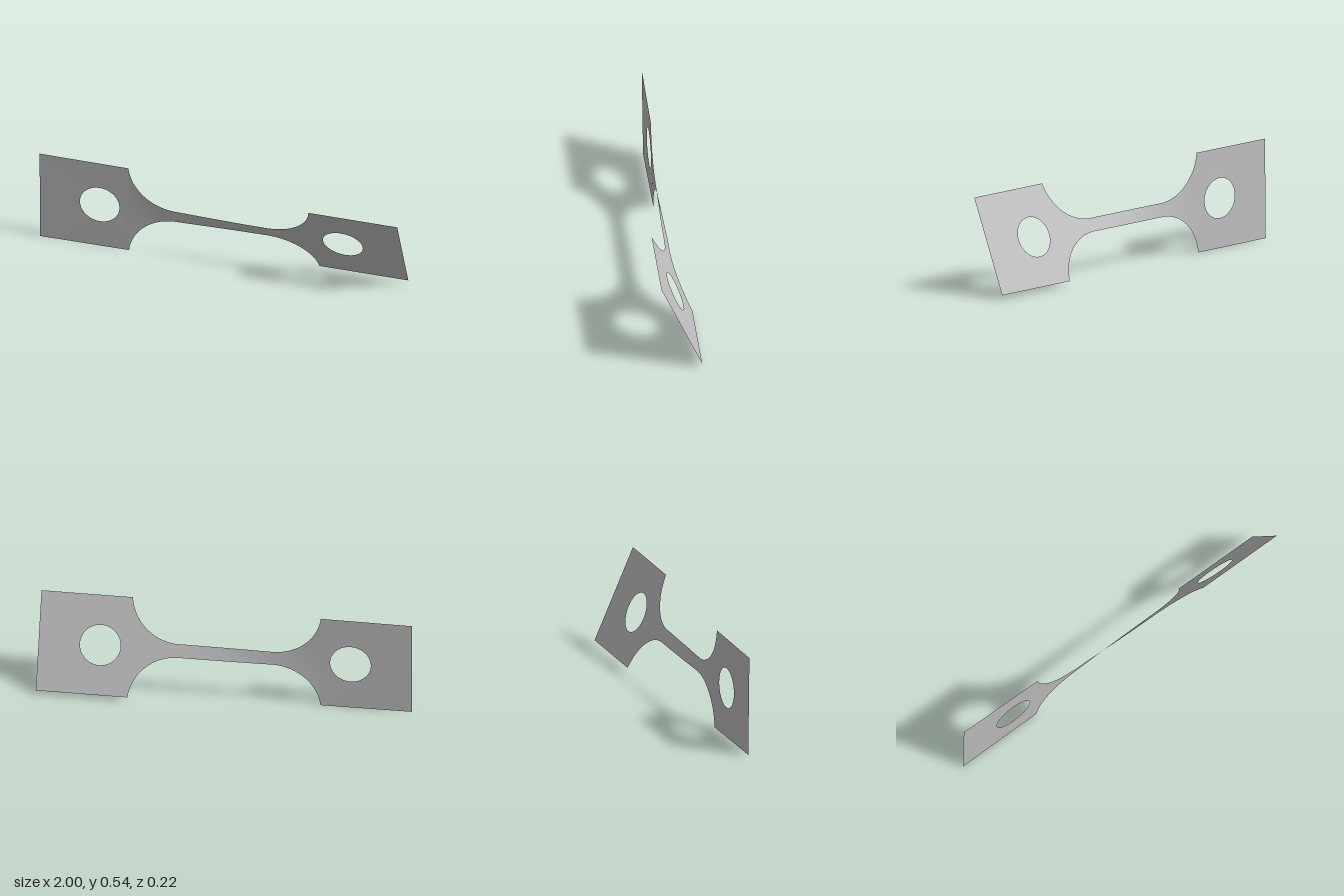
import * as THREE from 'three';

const CENTRE_Y = 0.271, HALF = 0.2705; // strip axis height, half width of the grips
const GRIP_X = 0.51, NECK_X = 0.25;    // fillets run between these distances
const NECK_HALF = 0.037, FILLET = 0.2615;

// twist about the long axis: nearly upright at -x, leaning forward at +x
function twistAngle(x) {
  return THREE.MathUtils.lerp(0.012, 0.415, THREE.MathUtils.smoothstep(x, -0.6, 0.25));
}

// half width of the neck with its round fillets
function neckHalf(x) {
  const d = Math.max(0, Math.abs(x) - NECK_X);
  return NECK_HALF + FILLET - Math.sqrt(FILLET * FILLET - d * d);
}

// apply the twist to a flat sheet lying in z = 0
function twist(geometry) {
  const p = geometry.attributes.position;
  for (let i = 0; i < p.count; i++) {
    const x = p.getX(i), v = p.getY(i), a = twistAngle(x);
    p.setXYZ(i, x, CENTRE_Y + v * Math.cos(a), v * Math.sin(a));
  }
  geometry.computeVertexNormals();
  return geometry;
}

// square grip plate with a round hole
function gripGeometry(side) {
  const x0 = side < 0 ? -1 : GRIP_X, x1 = side < 0 ? -GRIP_X : 1;
  const shape = new THREE.Shape();
  shape.moveTo(x0, -HALF);
  shape.lineTo(x1, -HALF);
  shape.lineTo(x1, HALF);
  shape.lineTo(x0, HALF);
  shape.closePath();
  const hole = new THREE.Path();
  hole.absarc(side * 0.67, 0, 0.109, 0, Math.PI * 2, true);
  shape.holes.push(hole);
  return twist(new THREE.ShapeGeometry(shape, 32));
}

// narrow neck, with columns packed closer towards the steep fillet ends
function neckGeometry() {
  const geometry = new THREE.PlaneGeometry(2, 2, 96, 8);
  const p = geometry.attributes.position;
  for (let i = 0; i < p.count; i++) {
    const x = GRIP_X * Math.sin(p.getX(i) * Math.PI / 2);
    p.setXY(i, x, p.getY(i) * neckHalf(x));
  }
  return twist(geometry);
}

export function createModel() {
  const group = new THREE.Group();
  group.name = 'twistedStrip';
  const metal = new THREE.MeshStandardMaterial({ color: 0xc0c0c0, side: THREE.DoubleSide });
  metal.name = 'grey metal';

  const add = (name, geometry) => {
    const mesh = new THREE.Mesh(geometry, metal);
    mesh.name = name;
    group.add(mesh);
  };
  add('rightGrip', gripGeometry(-1));
  add('leftGrip', gripGeometry(1));
  add('neck', neckGeometry());
  return group;
}
